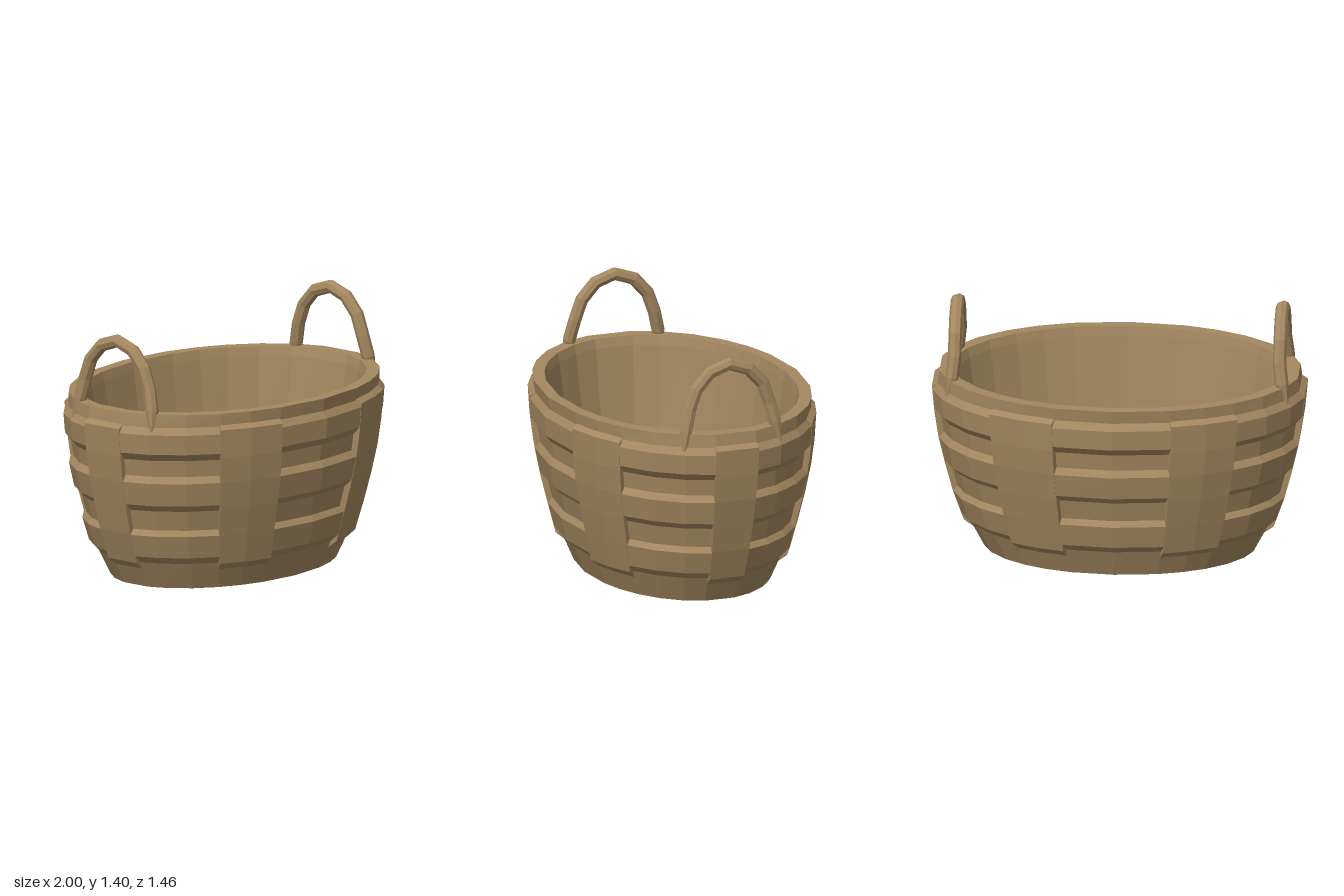
import * as THREE from 'three';

const material = new THREE.MeshStandardMaterial({ color: 0xa3875f, flatShading: true, side: THREE.DoubleSide });

// Outer wall: height, half width in x, half depth in z
const WALL = [
  [0, 0.73, 0.5], [0.16, 0.815, 0.567], [0.32, 0.87, 0.605], [0.47, 0.91, 0.642],
  [0.62, 0.945, 0.672], [0.76, 0.967, 0.69], [0.93, 0.983, 0.7], [1, 0.973, 0.71],
];
// Rim top, inner lip, inner wall
const INSIDE = [[1, 0.9, 0.645], [0.95, 0.885, 0.635], [0.52, 0.82, 0.57], [0.1, 0.705, 0.455]];

// Half turn of wall corners in degrees; stakes and weave share these
const HALF = [-9.6, 9.6, 22, 36, 49, 60, 71.5, 90, 108.5, 120, 131, 144, 158];
const ALL = [...HALF, ...HALF.map((a) => a + 180)];
const ROUND = [...ALL, ALL[0] + 360];

function wallAt(y) {
  let i = 0;
  while (i < WALL.length - 2 && y > WALL[i + 1][0]) i++;
  const k = (y - WALL[i][0]) / (WALL[i + 1][0] - WALL[i][0]);
  return [1, 2].map((n) => THREE.MathUtils.lerp(WALL[i][n], WALL[i + 1][n], k));
}

function ringPoint(deg, y, rx, rz) {
  const t = THREE.MathUtils.degToRad(deg);
  return [rx * Math.cos(t), y, rz * Math.sin(t)];
}

// Skin a stack of equally long rows of points
function loft(name, rows) {
  const n = rows[0].length;
  const index = [];
  for (let i = 0; i < rows.length - 1; i++) {
    for (let j = 0; j < n - 1; j++) {
      const a = i * n + j, b = a + 1, c = a + n, d = c + 1;
      index.push(a, c, b, b, c, d);
    }
  }
  const geometry = new THREE.BufferGeometry();
  geometry.setAttribute('position', new THREE.Float32BufferAttribute(rows.flat(2), 3));
  geometry.setIndex(index);
  geometry.computeVertexNormals();
  const mesh = new THREE.Mesh(geometry, material);
  mesh.name = name;
  return mesh;
}

// Raised piece on the wall; levels are [height, lift], sides close the two ends
function raised(name, angles, levels, sides) {
  const rows = levels.map(([y, lift]) => {
    const [rx, rz] = wallAt(y);
    const row = angles.map((a) => ringPoint(a, y, rx + lift, rz + lift));
    if (sides) {
      row.unshift(ringPoint(angles[0] - 0.4, y, rx - 0.02, rz - 0.02));
      row.push(ringPoint(angles.at(-1) + 0.4, y, rx - 0.02, rz - 0.02));
    }
    return row;
  });
  return loft(name, rows);
}

function makeHandle(name, side) {
  const half = [[0.9, 0.275, 0.912], [1.06, 0.243, 0.875], [1.235, 0.187, 0.87], [1.325, 0.105, 0.87]];
  const points = [
    ...half.map(([y, z, x]) => new THREE.Vector3(x * side, y, z)),
    new THREE.Vector3(0.87 * side, 1.36, 0),
    ...half.slice().reverse().map(([y, z, x]) => new THREE.Vector3(x * side, y, -z)),
  ];
  const curve = new THREE.CatmullRomCurve3(points);
  const segments = 10, radial = 8;
  const geometry = new THREE.TubeGeometry(curve, segments, 0.036, radial, false);
  // Pinch both ends where they tuck into the weave
  const pos = geometry.attributes.position;
  const v = new THREE.Vector3();
  for (let i = 0; i < pos.count; i++) {
    const ring = Math.floor(i / (radial + 1));
    if (ring !== 0 && ring !== segments) continue;
    v.fromBufferAttribute(pos, i).lerp(ring ? points.at(-1) : points[0], 0.8);
    pos.setXYZ(i, v.x, v.y, v.z);
  }
  const mesh = new THREE.Mesh(geometry, material);
  mesh.name = name;
  return mesh;
}

export function createModel() {
  const basket = new THREE.Group();
  basket.name = 'basket';

  // Wall from the underside up over the rim and down to the inner floor
  const profile = [[0, 0, 0], ...WALL, ...INSIDE, [0.1, 0, 0]];
  basket.add(loft('basketBody', profile.map(([y, rx, rz]) => ROUND.map((a) => ringPoint(a, y, rx, rz)))));

  // Horizontal weave between the stakes
  const weave = new THREE.Group();
  weave.name = 'horizontalWeave';
  const spans = [[9.6, 22, 36, 49], [71.5, 90, 108.5], [131, 144, 158, 170.4]];
  const bands = [[0.15, 0.19, 0.315, 0.345], [0.455, 0.492, 0.62, 0.655], [0.745, 0.785, 0.893, 0.93]];
  // Upright stakes
  const stakes = new THREE.Group();
  stakes.name = 'uprightStakes';
  const stakeSpans = [[-9.6, 9.6], [49, 60, 71.5], [108.5, 120, 131]];
  const stakeLevels = [
    [0.11, 0], [0.15, 0.032], [0.32, 0.032], [0.47, 0.032],
    [0.62, 0.032], [0.76, 0.032], [0.915, 0.032], [0.937, 0],
  ];
  for (const turn of [0, 180]) {
    for (const span of spans) {
      for (const [y0, y1, y2, y3] of bands) {
        const levels = [[y0, 0], [y1, 0.03], [y2, 0.03], [y3, 0]];
        weave.add(raised('weaveBand', span.map((a) => a + turn), levels, false));
      }
    }
    for (const span of stakeSpans) {
      stakes.add(raised('stake', span.map((a) => a + turn), stakeLevels, true));
    }
  }
  basket.add(weave, stakes);

  // Arched handles at both ends
  basket.add(makeHandle('leftHandle', 1), makeHandle('rightHandle', -1));
  return basket;
}
